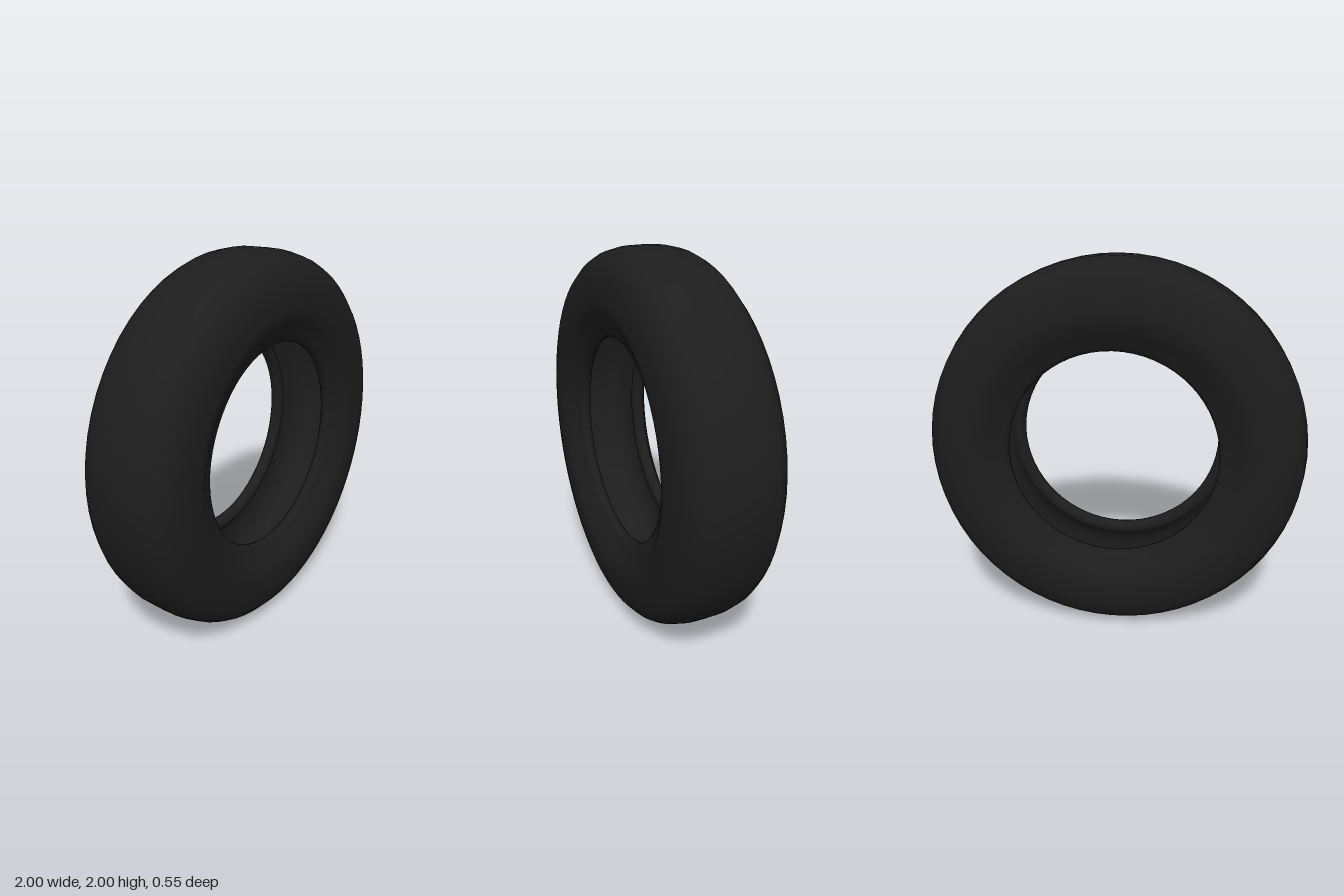
import * as THREE from 'three';

// Half of the hollow tyre cross-section as [radius, width offset]:
// tread and sidewall, rounded bead, then the inner wall back to the middle
const HALF_PROFILE = [
  // tread, shoulder and sidewall
  [1, 0], [0.998, 0.08], [0.98, 0.16], [0.955, 0.205], [0.905, 0.25],
  [0.82, 0.27], [0.74, 0.275], [0.69, 0.266], [0.645, 0.243], [0.605, 0.22],
  // bead
  [0.572, 0.208], [0.555, 0.195], [0.55, 0.178], [0.555, 0.157],
  [0.573, 0.142], [0.597, 0.139], [0.614, 0.153],
  // inner wall
  [0.635, 0.18], [0.68, 0.21], [0.74, 0.222], [0.82, 0.215],
  [0.885, 0.19], [0.92, 0.145], [0.938, 0.08], [0.942, 0],
];

export function createModel() {
  const model = new THREE.Group();
  model.name = 'tyre';
  const rubber = new THREE.MeshStandardMaterial({ color: 0x1d1d1d });
  rubber.name = 'black rubber';

  // Mirror the half section into one closed loop, starting and ending on the inner wall
  const front = HALF_PROFILE.map(([r, w]) => new THREE.Vector2(r, w));
  const back = HALF_PROFILE.slice(1).reverse().map(([r, w]) => new THREE.Vector2(r, -w));

  // Spin the section and stand the ring upright on its tread
  const geometry = new THREE.LatheGeometry([...back, ...front], 64);
  geometry.rotateX(Math.PI / 2);
  geometry.translate(0, 1, 0);

  const casing = new THREE.Mesh(geometry, rubber);
  casing.name = 'tyreCasing';
  model.add(casing);
  return model;
}
